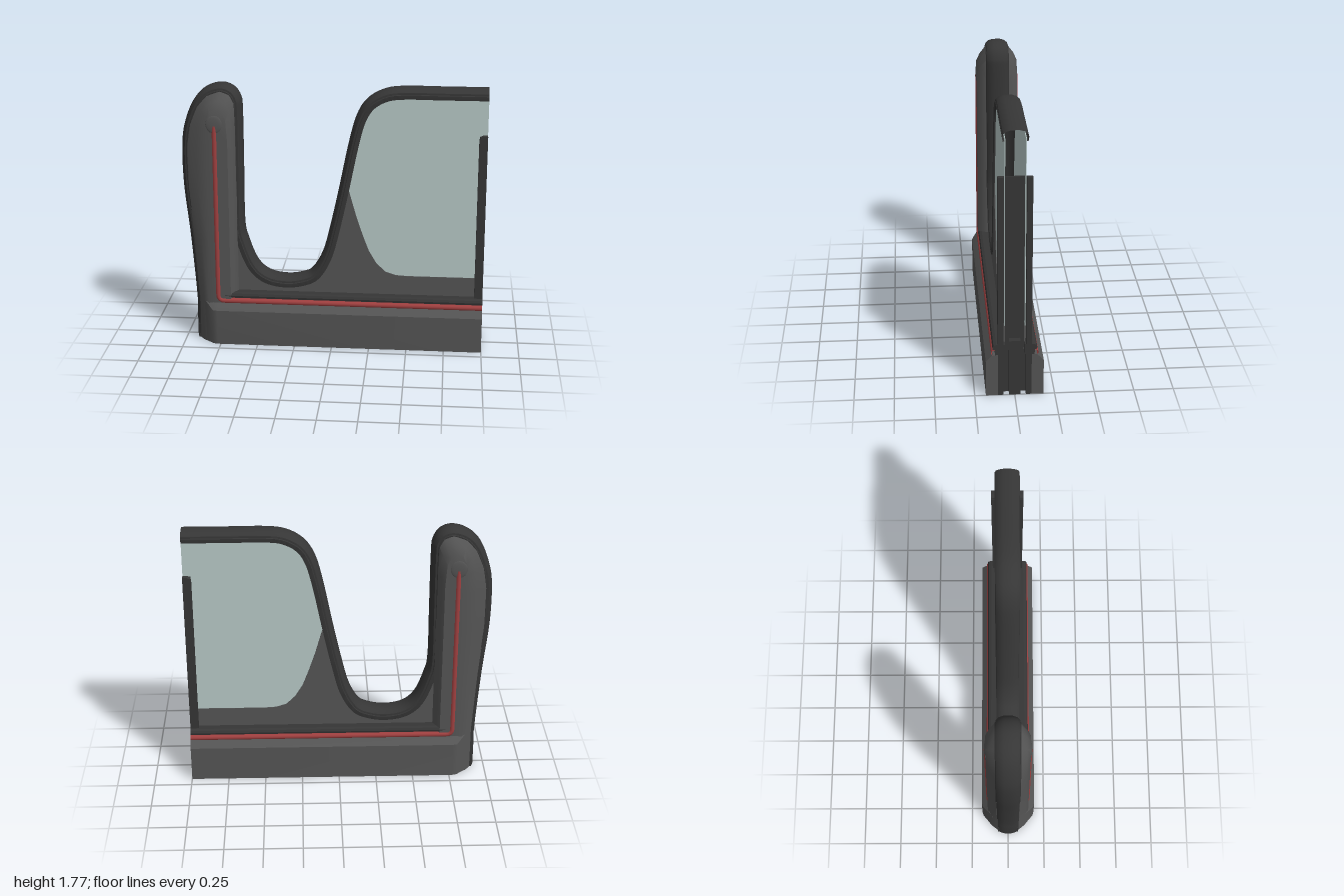
import * as THREE from 'three';
import { toCreasedNormals } from 'three/addons/utils/BufferGeometryUtils.js';

const paint = (color) => new THREE.MeshStandardMaterial({ color, side: THREE.DoubleSide });
const V2 = (x, y) => new THREE.Vector2(x, y);

// Skin a list of equally long rings of [x, y, z] points
function loft(rings, closed) {
  const n = rings[0].length, index = [];
  const cols = closed ? n : n - 1;
  for (let i = 0; i < rings.length - 1; i++) {
    for (let j = 0; j < cols; j++) {
      const a = i * n + j, b = i * n + (j + 1) % n, c = a + n, d = b + n;
      index.push(a, c, b, b, c, d);
    }
  }
  const geo = new THREE.BufferGeometry();
  geo.setAttribute('position', new THREE.Float32BufferAttribute(rings.flat(2), 3));
  geo.setIndex(index);
  return toCreasedNormals(geo, 0.6);
}

// Move an outline sideways, towards the inside of the panel
function inset(pts, d) {
  return pts.map((p, i) => {
    const t = pts[Math.min(i + 1, pts.length - 1)].clone().sub(pts[Math.max(i - 1, 0)]).normalize();
    return V2(p.x + t.y * d, p.y - t.x * d);
  });
}

// Flat plate between two z values
function plate(points, z0, z1) {
  const geo = new THREE.ExtrudeGeometry(new THREE.Shape(points), { depth: z1 - z0, bevelEnabled: false });
  return geo.translate(0, 0, z0);
}

function box(x0, x1, y0, y1, z0, z1) {
  return new THREE.BoxGeometry(x1 - x0, y1 - y0, z1 - z0)
    .translate((x0 + x1) / 2, (y0 + y1) / 2, (z0 + z1) / 2);
}

export function createModel() {
  const group = new THREE.Group();
  const body = paint(0x555555), dark = paint(0x363636), red = paint(0xa04040), glass = paint(0xb8cac8);

  const add = (name, geo, mat) => {
    const mesh = new THREE.Mesh(geo, mat);
    mesh.name = name;
    group.add(mesh);
    return mesh;
  };
  const addBoth = (name, geo, mat) => {
    add(name + 'Front', geo, mat);
    add(name + 'Back', geo, mat).scale.z = -1;
  };

  // Outer outline: up the post, over it, down through the dip, up to the top rail
  const outline = new THREE.SplineCurve([
    [-0.93, 0], [-0.93, 0.15], [-0.93, 0.3], [-0.96, 0.72], [-0.995, 1.08], [-0.997, 1.36], [-0.97, 1.52],
    [-0.91, 1.66], [-0.83, 1.74], [-0.73, 1.77], [-0.65, 1.745], [-0.605, 1.68], [-0.595, 1.58],
    [-0.595, 1.2], [-0.595, 0.83], [-0.57, 0.7], [-0.51, 0.55], [-0.43, 0.475], [-0.31, 0.452],
    [-0.2, 0.47], [-0.135, 0.51], [-0.07, 0.63], [-0.02, 0.82], [0.035, 1.07], [0.1, 1.39],
    [0.15, 1.57], [0.22, 1.68], [0.33, 1.745], [0.46, 1.765], [0.7, 1.765], [1, 1.765],
  ].map(([x, y]) => V2(x, y))).getPoints(180);

  // Edge trim: hollow rounded section, [depth, z], swept along the outline
  const half = [[0.068, 0.062], [0.07, 0.075], [0.042, 0.079], [0.038, 0.075], [0.026, 0.073], [0.01, 0.055], [0.001, 0.025]];
  const section = [...half, ...half.map(([d, z]) => [d, -z]).reverse()];
  const strips = section.map(([d, z]) => inset(outline, d).map((p) => [p.x, p.y, z]));
  add('edgeTrim', loft(strips, false), dark);

  // Post: face rises from the rim to a raised middle
  const postPairs = [
    [-0.90, 0, -0.84, 0], [-0.90, 0.3, -0.83, 0.3], [-0.925, 0.72, -0.82, 0.72], [-0.957, 1.1, -0.82, 1.1],
    [-0.957, 1.36, -0.82, 1.35], [-0.935, 1.5, -0.82, 1.48], [-0.885, 1.62, -0.81, 1.56],
    [-0.82, 1.695, -0.79, 1.605], [-0.73, 1.728, -0.75, 1.62], [-0.67, 1.705, -0.715, 1.6],
    [-0.64, 1.65, -0.69, 1.55], [-0.635, 1.5, -0.68, 1.4], [-0.635, 0.8, -0.68, 0.8],
    [-0.635, 0.3, -0.68, 0.3], [-0.635, 0, -0.68, 0],
  ];
  addBoth('post', loft([
    postPairs.map(([x, y]) => [x, y, 0.05]),
    postPairs.map(([x, y]) => [x, y, 0.076]),
    postPairs.map(([x, y, u, v]) => [(x + u) / 2, (y + v) / 2, 0.115]),
    postPairs.map(([, , u, v]) => [u, v, 0.138]),
    postPairs.map(([, , , v]) => [-0.75, Math.min(v, 1.5), 0.139]),
  ], false), body);
  add('postFoot', box(-0.915, -0.85, 0, 0.1, -0.07, 0.07), dark);

  // Soft bump over the end of the red strip
  addBoth('stripCap', new THREE.SphereGeometry(1, 20, 12).scale(0.055, 0.06, 0.008).translate(-0.765, 1.52, 0.137), body);

  // Base skirts: sloped shoulder, tapering in at the post end
  const profile = [[0.06, 0], [0.18, 0], [0.18, 0.24], [0.138, 0.285], [0.06, 0.285]];
  const stations = [[-0.875, 0.105], [-0.85, 0.13], [-0.8, 0.172], [-0.77, 0.18], [0.955, 0.18]];
  const rings = stations.map(([x, m]) => profile.map(([z, y]) => [x, y, Math.min(z, m)]));
  const endRing = profile.map(([z, y]) => [1, y, Math.max(z, 0.105)]);
  const cap = (x, z) => profile.map(() => [x, 0.12, z]);
  rings[4] = profile.map(([z, y]) => [0.955, y, Math.max(z, 0.105)]);
  addBoth('baseSkirt', loft([cap(-0.875, 0.08), ...rings, endRing, cap(1, 0.14)], true), body);
  add('baseCore', box(-0.86, 0.955, 0, 0.34, -0.1, 0.1), body);

  // Ledge above the red strip, with a rounded lip
  const ledge = plate([V2(0.06, 0.285), V2(0.122, 0.285), V2(0.124, 0.318), V2(0.136, 0.322),
    V2(0.139, 0.335), V2(0.132, 0.35), V2(0.115, 0.356), V2(0.06, 0.356)], 0, 1.72);
  // shape x becomes z, depth becomes x
  ledge.rotateY(-Math.PI / 2).translate(1, 0, 0);
  addBoth('ledge', ledge, dark);

  // Red strip: L-shaped with a rounded corner
  const strip = new THREE.CurvePath();
  const P = (x, y) => new THREE.Vector3(x, y, 0.128);
  strip.add(new THREE.LineCurve3(P(-0.765, 1.51), P(-0.765, 0.34)));
  strip.add(new THREE.QuadraticBezierCurve3(P(-0.765, 0.34), P(-0.765, 0.298), P(-0.725, 0.298)));
  strip.add(new THREE.LineCurve3(P(-0.725, 0.298), P(1, 0.298)));
  addBoth('redStrip', new THREE.TubeGeometry(strip, 160, 0.019, 10), red);

  // Lower infill panel and window, sharing the curved sill
  const inner = inset(outline, 0.05);
  const sill = [[0.11, 1.06], [0.155, 0.9], [0.2, 0.765], [0.24, 0.66], [0.29, 0.575], [0.35, 0.515],
    [0.42, 0.492], [0.5, 0.487], [0.96, 0.487]].map(([x, y]) => V2(x, y));
  const dip = inner.filter((p) => p.x > -0.64 && p.x < 0.2 && p.y < 1.05);
  addBoth('infillPanel', plate([V2(-0.66, 0.3), V2(-0.66, 0.85), ...dip, ...sill, V2(0.96, 0.3)], 0.058, 0.07), body);
  const arch = inner.filter((p) => p.x > 0.03 && p.y > 1.06);
  addBoth('windowPane', plate([...arch, V2(1, 0.487), ...sill.slice(0, -1).reverse()], 0.06, 0.065), glass);

  // Joining channel at the open end: web, two flanges and a low tongue
  add('channelWeb', box(0.95, 0.96, 0, 1.46, -0.103, 0.103), dark);
  const flange = [V2(0.945, 0), V2(1, 0), V2(1, 1.468), V2(0.97, 1.468), V2(0.952, 1.46), V2(0.945, 1.44)];
  addBoth('channelFlange', plate(flange, 0.07, 0.105), dark);
  add('channelTongue', box(0.955, 1, 0, 0.38, -0.035, 0.035), dark);
  return group;
}
